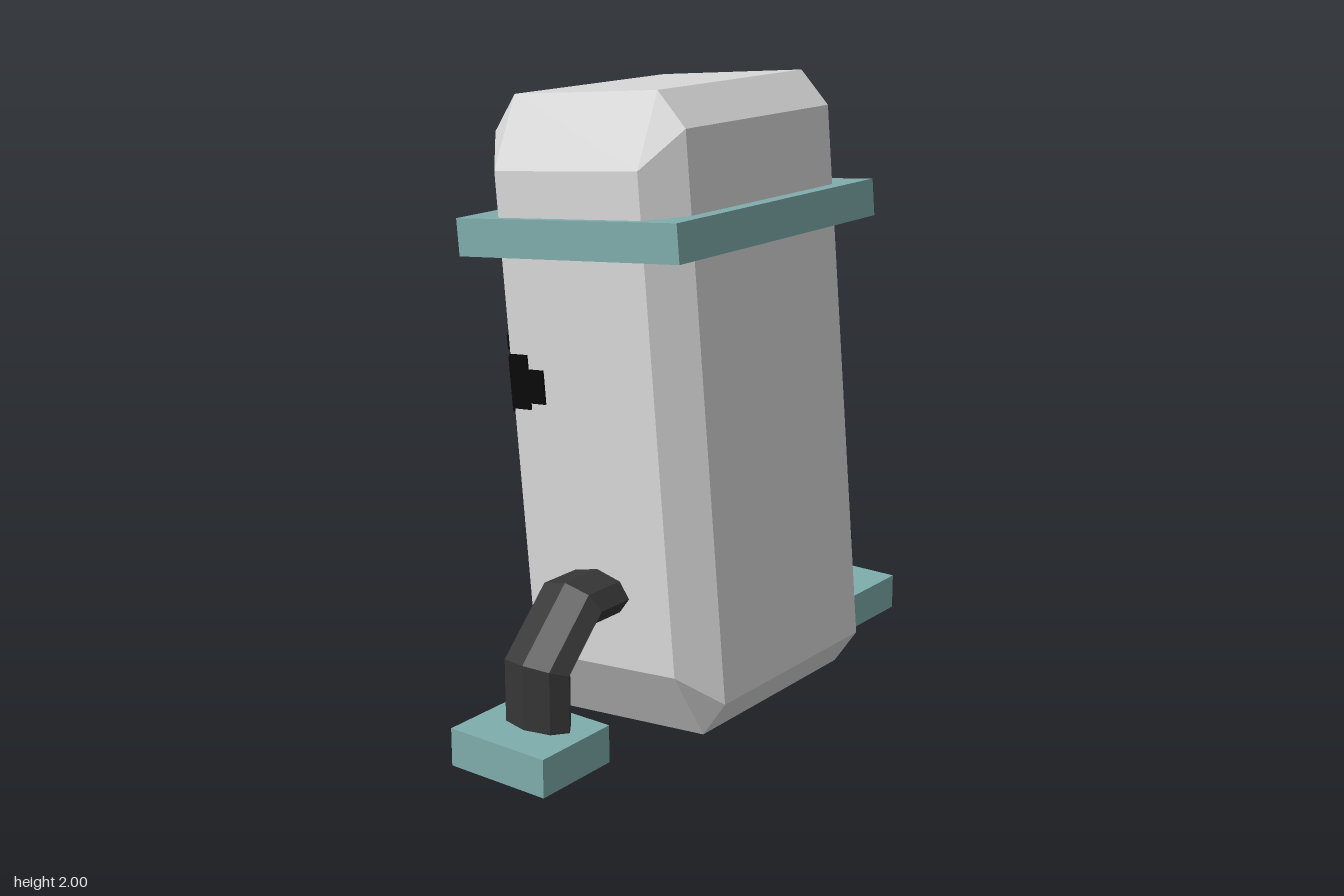
import * as THREE from 'three';
import { ConvexGeometry } from 'three/addons/geometries/ConvexGeometry.js';

const mat = (name, color, flatShading = false) => {
  const m = new THREE.MeshStandardMaterial({ color, flatShading });
  m.name = name;
  return m;
};

export function createModel() {
  const shell = mat('pale grey', 0xd8d8d8);
  const teal = mat('teal', 0x7fadad);
  const dark = mat('charcoal', 0x363636, true);
  const ink = mat('black', 0x080808);

  const model = new THREE.Group();
  model.name = 'leaningFigure';
  const add = (parent, name, geometry, material, x = 0, y = 0, z = 0) => {
    const mesh = new THREE.Mesh(geometry, material);
    mesh.name = name;
    mesh.position.set(x, y, z);
    parent.add(mesh);
    return mesh;
  };

  // Leaning torso: bevelled block defined by its front, side and top panels
  const torso = new THREE.Group();
  torso.name = 'torso';
  torso.position.set(0.02, 1, 0);
  torso.rotation.z = THREE.MathUtils.degToRad(5);
  model.add(torso);

  const corners = [];
  for (const sx of [-1, 1]) for (const sy of [-1, 1]) for (const sz of [-1, 1]) {
    for (const [x, y, z] of [[0.275, 0.76, 0.49], [0.367, 0.868, 0.37], [0.275, 0.98, 0.37]]) {
      corners.push(new THREE.Vector3(sx * x, sy * y, sz * z));
    }
  }
  add(torso, 'body', new ConvexGeometry(corners), shell);
  add(torso, 'belt', new THREE.BoxGeometry(0.85, 0.118, 1.035), teal, 0, 0.56, 0);

  // Face drawing: thin strokes laid on flat panels (x along the panel, y up)
  const panel = (name, x, z, yaw) => {
    const g = new THREE.Group();
    g.name = name;
    g.position.set(x, 0, z);
    g.rotation.y = yaw;
    torso.add(g);
    return g;
  };
  const stroke = (parent, name, points, width = 0.034) => {
    for (let i = 1; i < points.length; i++) {
      const [ax, ay] = points[i - 1], [bx, by] = points[i];
      const length = Math.hypot(bx - ax, by - ay) + width * 0.8;
      const m = add(parent, name, new THREE.BoxGeometry(length, width, 0.008), ink,
        (ax + bx) / 2, (ay + by) / 2, 0.003);
      m.rotation.z = Math.atan2(by - ay, bx - ax);
    }
  };
  const patch = (parent, name, x, y, w, h) =>
    add(parent, name, new THREE.BoxGeometry(w, h, 0.008), ink, x, y, 0.003);

  const face = panel('facePanel', -0.367, 0, -Math.PI / 2);
  stroke(face, 'mouth', [[-0.2, -0.09], [0.15, -0.08], [0.15, -0.23], [0.12, -0.255],
    [-0.11, -0.265], [-0.2, -0.19], [-0.2, -0.09]], 0.03);
  stroke(face, 'eyeOutline', [[-0.35, 0.04], [-0.15, 0.04], [-0.105, 0.08], [-0.11, 0.2],
    [-0.2, 0.285], [-0.34, 0.29]]);
  stroke(face, 'eyeOutline', [[0.35, 0.04], [0.1, 0.04], [0.1, 0.2]]);
  stroke(face, 'eyeOutline', [[0.21, 0.285], [0.35, 0.285]]);
  patch(face, 'pupil', -0.345, 0.165, 0.035, 0.045);
  patch(face, 'pupil', 0.155, 0.208, 0.04, 0.04);
  patch(face, 'pupil', 0.195, 0.175, 0.035, 0.03);

  // Eye outlines wrap over the bevels onto the front and back
  const bevelYaw = -Math.atan2(0.12, 0.092);
  for (const s of [1, -1]) {
    const bevel = panel('bevelPanel', -0.367, s * 0.37, s > 0 ? bevelYaw : -Math.PI - bevelYaw);
    patch(bevel, 'eyeLowerLine', s * 0.0755, 0.042, 0.151, 0.045);
    patch(bevel, 'eyeUpperLine', s * 0.03, 0.29, 0.06, 0.045);
    patch(bevel, 'eyeUpperLine', s * 0.11, 0.235, 0.065, 0.045);
    patch(bevel, 'eyeOuterCorner', s * 0.141, 0.13, 0.02, 0.12);
    const flank = panel('flankPanel', -0.275, s * 0.49, s > 0 ? 0 : Math.PI);
    patch(flank, 'eyeOuterCorner', s * 0.035, 0.115, 0.07, 0.17);
    patch(flank, 'eyeOuterCorner', s * 0.1, 0.103, 0.06, 0.105);
  }

  // Bent legs: oval eight-sided rings [z, y, spread z, spread y]
  const rings = [[0.42, 0.48, 0, 0.07], [0.62, 0.48, 0.022, 0.07],
    [0.773, 0.325, 0.067, 0.025], [0.773, 0.12, 0.067, 0]];
  const N = 8;
  const legGeometry = () => {
    const pos = [], idx = [];
    for (const [z, y, dz, dy] of rings) for (let i = 0; i < N; i++) {
      const a = (i / N) * Math.PI * 2;
      pos.push(0.123 * Math.cos(a), y + dy * Math.sin(a), z + dz * Math.sin(a));
    }
    for (let r = 0; r < rings.length - 1; r++) for (let i = 0; i < N; i++) {
      const a = r * N + i, b = r * N + (i + 1) % N;
      idx.push(a, b, b + N, a, b + N, a + N);
    }
    const g = new THREE.BufferGeometry();
    g.setAttribute('position', new THREE.Float32BufferAttribute(pos, 3));
    g.setIndex(idx);
    g.computeVertexNormals();
    return g;
  };
  for (const [name, yaw] of [['front', 0], ['back', Math.PI]]) {
    const limb = new THREE.Group();
    limb.name = name + 'Limb';
    limb.position.x = 0.065;
    limb.rotation.y = yaw;
    model.add(limb);
    add(limb, name + 'Leg', legGeometry(), dark);
    add(limb, name + 'Foot', new THREE.BoxGeometry(0.36, 0.12, 0.3), teal, 0, 0.086, 0.81);
  }
  return model;
}
